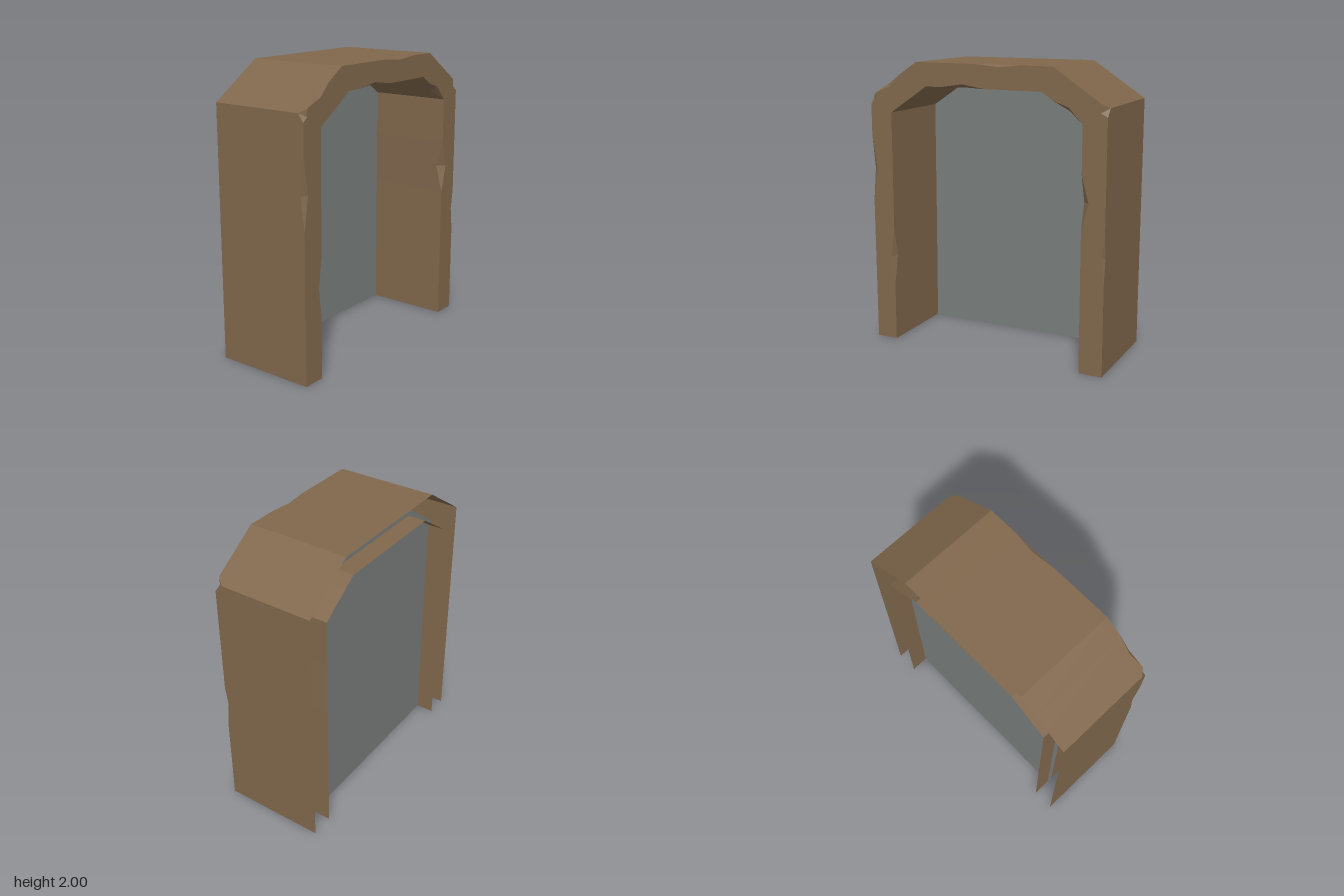
import * as THREE from 'three';

const FRONT = 0.36, BACK = -0.36;

// Station on an edge: [x, y] plain, or [x, y, faceX, faceY, depth] for a chip
const outerEdge = [
  [0.87, 0], [0.87, 0.64], [0.87, 0.8, 0.85, 0.8, 0.02], [0.87, 0.95],
  [0.87, 1.7], [0.87, 1.755, 0.825, 1.725, 0.05], [0.825, 1.785],
  [0.5, 2], [0.28, 2], [0.12, 2, 0.12, 1.985, 0.02], [-0.05, 2], [-0.5, 2],
  [-0.63, 1.914], [-0.73, 1.848, -0.71, 1.83, 0.02], [-0.82, 1.788],
  [-0.835, 1.778], [-0.87, 1.755, -0.835, 1.73, 0.04], [-0.87, 1.7],
  [-0.87, 1.48], [-0.87, 1.25, -0.835, 1.25, 0.03], [-0.87, 1.02], [-0.87, 0],
];
const innerEdge = [
  [-0.715, 0], [-0.713, 0.42], [-0.711, 0.62, -0.737, 0.62, 0.04], [-0.71, 0.83],
  [-0.707, 1.65], [-0.425, 1.84],
  [-0.31, 1.84], [-0.15, 1.84, -0.15, 1.865, 0.05], [0.02, 1.84], [0.425, 1.84],
  [0.5, 1.79], [0.6, 1.722, 0.61, 1.75, 0.05], [0.705, 1.65],
  [0.705, 1.33], [0.706, 1.15, 0.755, 1.15, 0.05], [0.707, 0.96], [0.708, 0],
];

const facePoint = ([x, y, fx = x, fy = y]) => new THREE.Vector3(fx, fy, FRONT);
const wallPoint = ([x, y, , , d = 0]) => new THREE.Vector3(x, y, FRONT - d);
const backPoint = ([x, y]) => new THREE.Vector3(x, y, BACK);

// Flat-shaded strip between two rows of points, skipping collapsed triangles
function strip(a, b) {
  const pts = [];
  const tri = (p, q, r) => {
    if (new THREE.Triangle(p, q, r).getArea() > 1e-7) pts.push(p, q, r);
  };
  for (let i = 0; i < a.length - 1; i++) {
    tri(a[i], b[i], b[i + 1]);
    tri(a[i], b[i + 1], a[i + 1]);
  }
  const g = new THREE.BufferGeometry().setFromPoints(pts);
  g.computeVertexNormals();
  return g;
}

export function createModel() {
  const group = new THREE.Group();
  const brown = new THREE.MeshStandardMaterial({ color: 0x80674c, side: THREE.DoubleSide });
  brown.name = 'brown stone';
  const grey = new THREE.MeshStandardMaterial({ color: 0x777c7a, side: THREE.DoubleSide });
  grey.name = 'grey panel';

  const add = (name, geometry, material) => {
    const mesh = new THREE.Mesh(geometry, material);
    mesh.name = name;
    group.add(mesh);
    return mesh;
  };

  // Outer and inner walls, open at the back and bottom, with chipped front edges
  for (const [name, edge] of [['outer', outerEdge], ['inner', innerEdge]]) {
    const wall = edge.map(wallPoint);
    add(name + 'Wall', strip(wall, edge.map(backPoint)), brown);
    add(name + 'Chips', strip(edge.map(facePoint), wall), brown);
  }

  // Front face of the arch
  const outline = [...outerEdge, ...innerEdge].map(facePoint);
  const face = new THREE.ShapeGeometry(
    new THREE.Shape(outline.map((p) => new THREE.Vector2(p.x, p.y))));
  add('frontFace', face.translate(0, 0, FRONT), brown);

  // Panel closing the passage, slightly larger than the opening
  const panel = new THREE.Shape([
    [0.74, 0], [0.74, 1.67], [0.44, 1.88], [-0.44, 1.88], [-0.74, 1.67], [-0.74, 0],
  ].map(([x, y]) => new THREE.Vector2(x, y)));
  add('backPanel', new THREE.ShapeGeometry(panel).translate(0, 0, -0.23), grey);

  return group;
}
